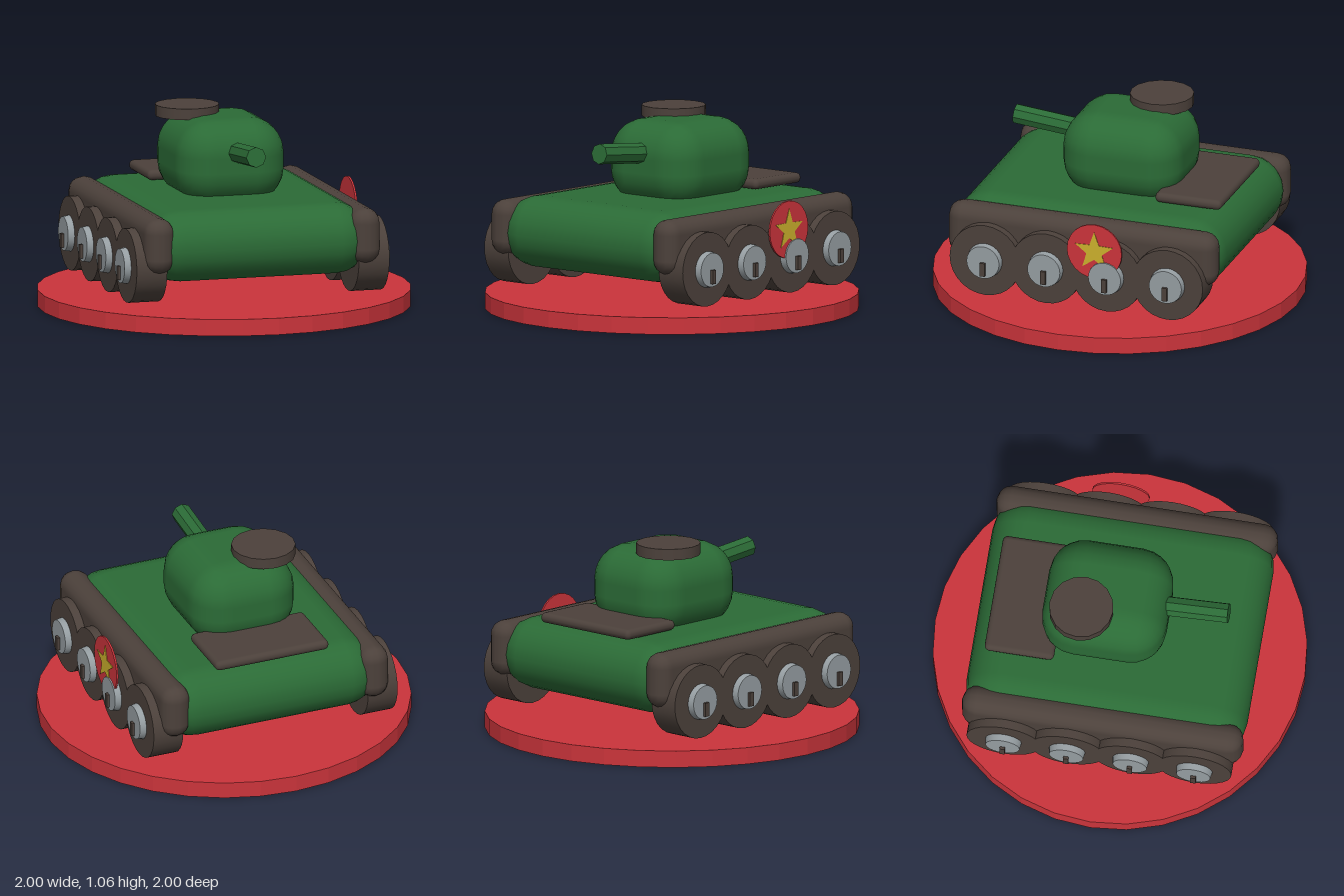
import * as THREE from 'three';
import { RoundedBoxGeometry } from 'three/addons/geometries/RoundedBoxGeometry.js';

const paint = (name, color) => {
  const m = new THREE.MeshStandardMaterial({ color });
  m.name = name;
  return m;
};

// Faceted copy of a geometry
function faceted(geometry) {
  const g = geometry.toNonIndexed();
  g.computeVertexNormals();
  return g;
}

export function createModel() {
  const green = paint('green', 0x2b6b36);
  const brown = paint('brown', 0x4c413b);
  const red = paint('red', 0xcb343b);
  const grey = paint('grey', 0x959da1);
  const yellow = paint('yellow', 0xcbb02d);

  const model = new THREE.Group();
  model.name = 'toyTank';

  function add(name, geometry, material, x, y, z, parent = model) {
    const mesh = new THREE.Mesh(geometry, material);
    mesh.name = name;
    mesh.position.set(x, y, z);
    parent.add(mesh);
    return mesh;
  }

  // Round display base
  add('base', faceted(new THREE.CylinderGeometry(1, 1, 0.09, 32)), red, 0, 0.045, 0);

  // Hull, turret and rear deck plate
  add('hull', new RoundedBoxGeometry(1.25, 0.385, 1.52, 3, 0.19), green, 0, 0.4325, 0);
  add('turret', new RoundedBoxGeometry(0.6, 0.46, 0.67, 3, 0.19), green, 0, 0.79, -0.065);
  add('rearPlate', new RoundedBoxGeometry(0.655, 0.056, 0.375, 2, 0.027), brown, 0, 0.656, -0.495);

  // Hatch on the turret roof
  add('hatch', new THREE.CylinderGeometry(0.172, 0.172, 0.06, 16), brown, -0.15, 1.03, -0.185);

  // Gun barrel, tipped slightly upward
  const barrel = add('barrel', faceted(new THREE.CylinderGeometry(0.055, 0.055, 0.45, 8)), green, 0, 0.87, 0.365);
  barrel.rotation.x = Math.PI / 2 - 0.095;

  // Running gear, mirrored on both sides
  const wheelGeo = new THREE.CylinderGeometry(0.2, 0.2, 0.17, 28).rotateZ(-Math.PI / 2);
  const hubGeo = new THREE.CylinderGeometry(0.092, 0.1, 0.05, 24).rotateZ(-Math.PI / 2);
  const fenderGeo = new RoundedBoxGeometry(0.165, 0.3, 1.52, 2, 0.08);
  const pinGeo = new THREE.BoxGeometry(0.05, 0.075, 0.028);
  for (const side of [1, -1]) {
    const gear = new THREE.Group();
    gear.name = side > 0 ? 'leftRunningGear' : 'rightRunningGear';
    if (side < 0) gear.rotation.y = Math.PI;
    model.add(gear);
    add('fender', fenderGeo, brown, 0.575, 0.455, 0, gear);
    for (const z of [-0.516, -0.172, 0.172, 0.516]) {
      add('wheel', wheelGeo, brown, 0.62, 0.33, z, gear);
      add('hub', hubGeo, grey, 0.715, 0.33, z, gear);
      add('pin', pinGeo, brown, 0.73, 0.293, z, gear);
    }
  }

  // Round badge with a star on the left side
  const badge = new THREE.Group();
  badge.name = 'badge';
  badge.position.set(0.728, 0.478, -0.112);
  badge.rotation.y = Math.PI / 2;
  model.add(badge);
  const discGeo = new THREE.CylinderGeometry(0.155, 0.155, 0.01, 24).rotateX(Math.PI / 2);
  add('badgeDisc', discGeo, red, 0, 0, 0, badge);
  const star = new THREE.Shape();
  for (let i = 0; i < 10; i++) {
    const r = i % 2 ? 0.046 : 0.113;
    const a = Math.PI / 2 + (i * Math.PI) / 5;
    if (i) star.lineTo(r * Math.cos(a), r * Math.sin(a));
    else star.moveTo(r * Math.cos(a), r * Math.sin(a));
  }
  star.closePath();
  add('badgeStar', new THREE.ExtrudeGeometry(star, { depth: 0.004, bevelEnabled: false }), yellow, 0, 0, 0.004, badge);

  return model;
}
